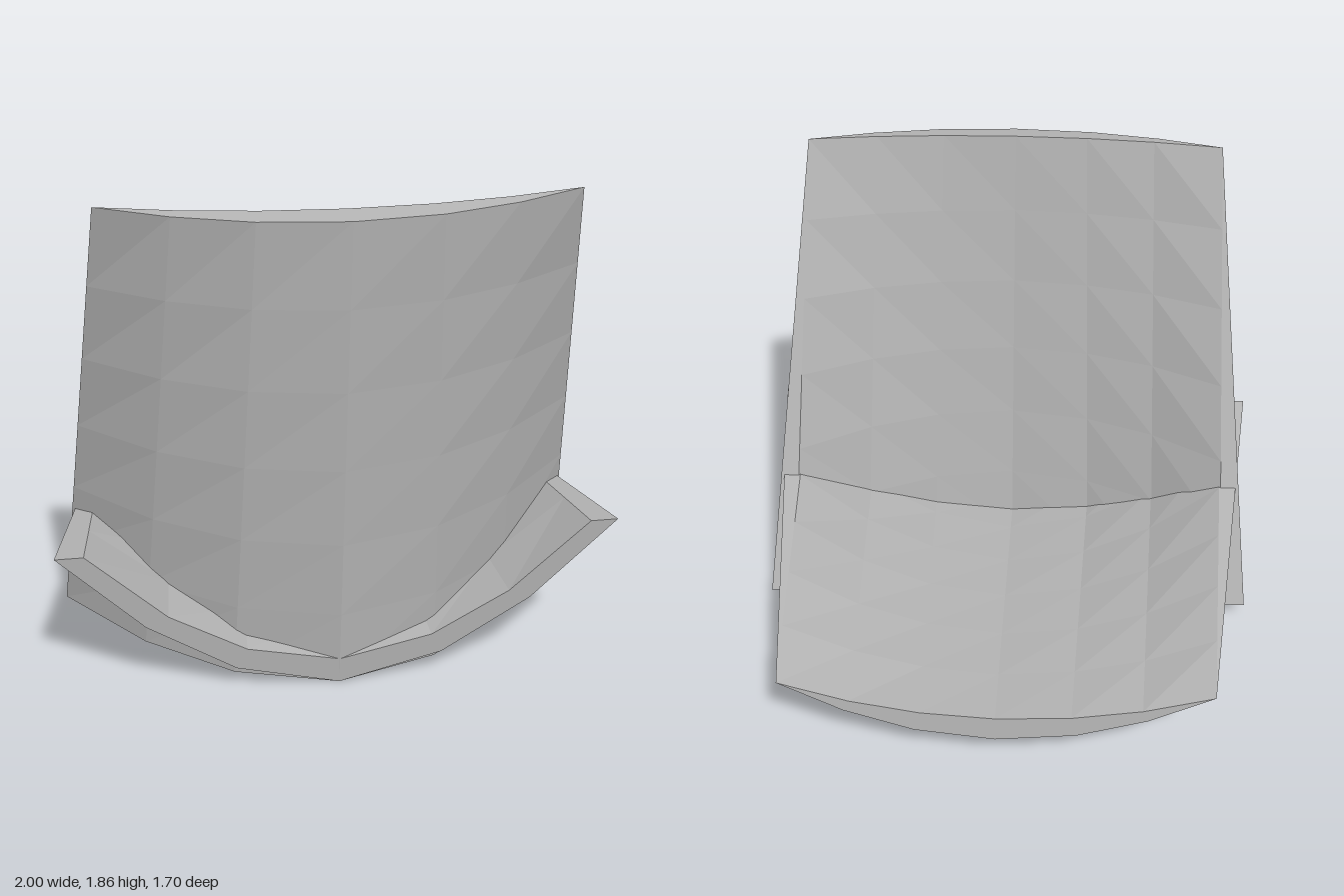
import * as THREE from 'three';

const ROWS = 6;

// Half cross-sections from rim to centre: x and rise as a fraction of the rim height
const nearOuter = [[1, 1], [0.7, 0.5], [0.38, 0.16], [0, 0]];
const nearInner = [[0.9, 1], [0.62, 0.56], [0.34, 0.29], [0, 0.165]];
const farOuter = [[0.8, 1], [0.56, 0.49], [0.3, 0.14], [0, 0]];
const innerArc = [[0.8, 0], [0.54, 0.55], [0.28, 0.88], [0, 1]];

// Mirror a half section into a full one, running from -x to +x
const mirror = (half) => [
  ...half.map(([x, r]) => [-x, r]),
  ...half.slice(0, -1).reverse(),
];

// Curved board lofted between two crescent ends; base and rim are [y, z] points
function curvedBoard(name, near, far, thickness, flip, material) {
  const rimHeight = Math.hypot(far.rim[0] - far.base[0], far.rim[1] - far.base[1]);
  const innerSag = 1 - thickness / rimHeight;
  const farInner = innerArc.map(([x, s]) => [x, 1 - s * innerSag]);
  const place = (end, section) => mirror(section).map(([x, r]) => new THREE.Vector3(
    x,
    THREE.MathUtils.lerp(end.base[0], end.rim[0], r),
    THREE.MathUtils.lerp(end.base[1], end.rim[1], r),
  ));
  const loft = (a, b) => (i, j) => a[i].clone().lerp(b[i], j / ROWS);
  const O = loft(place(near, nearOuter), place(far, farOuter));
  const I = loft(place(near, nearInner), place(far, farInner));

  const positions = [];
  const quad = (a, b, c, d) => {
    const corners = flip ? [a, c, b, a, d, c] : [a, b, c, a, c, d];
    corners.forEach((p) => positions.push(p.x, p.y, p.z));
  };
  for (let j = 0; j < ROWS; j++) {
    // Outer and inner faces
    for (let i = 0; i < 6; i++) {
      quad(O(i, j), O(i + 1, j), O(i + 1, j + 1), O(i, j + 1));
      quad(I(i, j), I(i, j + 1), I(i + 1, j + 1), I(i + 1, j));
    }
    // Tapering rims along both sides
    quad(O(0, j), O(0, j + 1), I(0, j + 1), I(0, j));
    quad(O(6, j), I(6, j), I(6, j + 1), O(6, j + 1));
  }
  // Crescent end faces
  for (let i = 0; i < 6; i++) {
    quad(O(i, 0), I(i, 0), I(i + 1, 0), O(i + 1, 0));
    quad(O(i, ROWS), O(i + 1, ROWS), I(i + 1, ROWS), I(i, ROWS));
  }

  const geometry = new THREE.BufferGeometry();
  geometry.setAttribute('position', new THREE.Float32BufferAttribute(positions, 3));
  geometry.computeVertexNormals();
  const mesh = new THREE.Mesh(geometry, material);
  mesh.name = name;
  return mesh;
}

export function createModel() {
  const grey = new THREE.MeshStandardMaterial({ color: 0xb4b4b4 });
  grey.name = 'grey';
  const group = new THREE.Group();
  group.name = 'chair';

  // Upright board, crossing the seat and standing on the ground
  group.add(curvedBoard('backrest',
    { base: [0, 0.66], rim: [0.07, 0.03] },
    { base: [1.83, 0.85], rim: [1.855, 0.66] }, 0.1, false, grey));

  // Lying board, reaching away from the backrest
  group.add(curvedBoard('seat',
    { base: [0, 0.66], rim: [0.637, 0.72] },
    { base: [0.165, -0.85], rim: [0.4, -0.83] }, 0.1, true, grey));

  return group;
}
